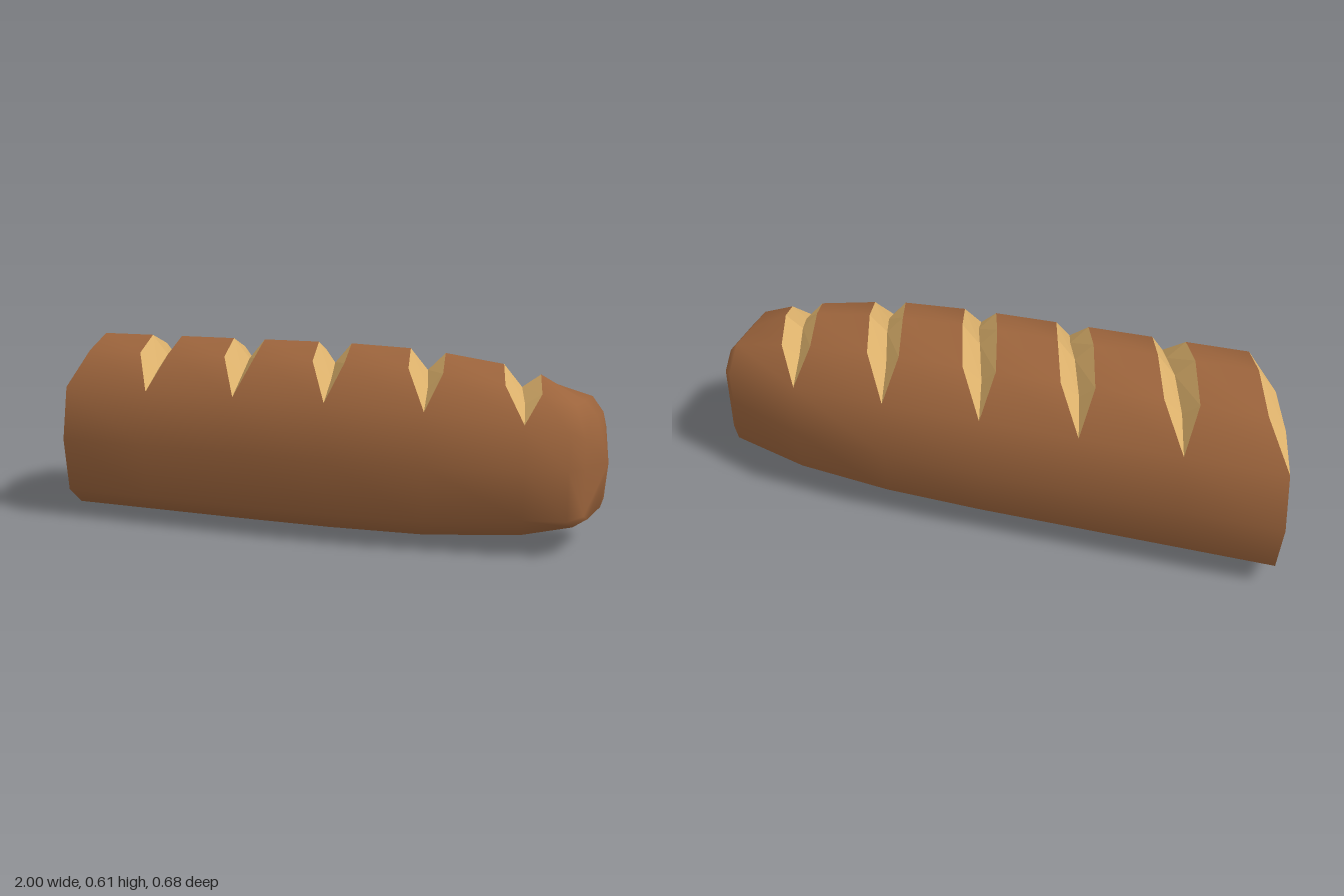
import * as THREE from 'three';
import { mergeVertices } from 'three/addons/utils/BufferGeometryUtils.js';

const MID = 0.272;      // height of the loaf axis
const SLANT = 0.3;      // slant of the slashes and of the cut end
const SIDES = 12;

// half cross-section, top to bottom: [z, y from axis]
const HALF = [[0, 0.34], [0.176, 0.294], [0.293, 0.176], [0.339, 0],
  [0.293, -0.185], [0.176, -0.254], [0, -0.272]];
// taper towards the rounded end: [x, scale]
const TAPER = [[-2, 1], [0, 1], [0.17, 0.995], [0.4, 0.965], [0.64, 0.875],
  [0.76, 0.79], [0.81, 0.765], [0.92, 0.56], [0.96, 0.43], [1, 0.3]];
const TAPER_BELOW = [[-2, 1], [0, 1], [0.4, 0.98], [0.72, 0.93], [0.92, 0.69], [0.96, 0.6], [1, 0.5]];

const SLASHES = [-0.9, -0.58, -0.25, 0.075, 0.405, 0.72];
const SLASH_HALF_WIDTH = [0.06, 0.056, 0];

function lookup(table, x) {
  let i = 1;
  while (i < table.length - 1 && table[i][0] < x) i++;
  const [x0, s0] = table[i - 1], [x1, s1] = table[i];
  return s0 + (s1 - s0) * (x - x0) / (x1 - x0);
}

// index 0 is the top, counting down the front and up the back
function section(j) {
  const k = ((j % SIDES) + SIDES) % SIDES;
  const m = Math.min(k, SIDES - k);
  return { m, z: HALF[m][0] * (k > 6 ? -1 : 1), y: HALF[m][1] };
}

// point on a slanted ring; side -1 / 1 gives a slash lip, 0 its valley
function slantPoint(c, j, side) {
  const { m, z, y } = section(j);
  const base = c + SLANT * z * lookup(TAPER, c);
  const x = base + side * (SLASH_HALF_WIDTH[m] ?? 0);
  const deep = side === 0 && m < 2;
  const s = lookup(TAPER, x);
  const sy = y < 0 ? lookup(TAPER_BELOW, x) : s;
  return new THREE.Vector3(x, MID + y * sy * (deep ? 0.8 : 1), z * s * (deep ? 0.87 : 1));
}

// point on a straight ring of the rounded end, partly squared off
function endPoint(x, j, square) {
  const { z, y } = section(j);
  const h = y < 0 ? 0.272 : 0.34;
  const grow = 1 + square * 0.3 * Math.pow(Math.abs(2 * (z / 0.339) * (y / h)), 1.2);
  const fit = (v, limit) => THREE.MathUtils.clamp(v * grow, -limit, limit);
  const sy = lookup(y < 0 ? TAPER_BELOW : TAPER, x);
  return new THREE.Vector3(x, MID + fit(y, h) * sy, fit(z, 0.339) * lookup(TAPER, x));
}

function makeSurface() {
  const data = [];
  const tri = (a, b, c) => {
    const area = b.clone().sub(a).cross(c.clone().sub(a)).length();
    if (area > 1e-7) for (const p of [a, b, c]) data.push(p.x, p.y, p.z);
  };
  // strip between two columns, left to right, over a range of sides
  const strip = (left, right, from, to) => {
    for (let j = from; j < to; j++) {
      tri(left(j), left(j + 1), right(j + 1));
      tri(left(j), right(j + 1), right(j));
    }
  };
  const build = (smooth) => {
    let g = new THREE.BufferGeometry();
    g.setAttribute('position', new THREE.Float32BufferAttribute(data, 3));
    if (smooth) g = mergeVertices(g, 1e-4);
    g.computeVertexNormals();
    return g;
  };
  return { tri, strip, build };
}

export function createModel() {
  const crustMat = new THREE.MeshStandardMaterial({ color: 0x9c643c });
  crustMat.name = 'crust brown';
  const crumbMat = new THREE.MeshStandardMaterial({ color: 0xdbb06b });
  crumbMat.name = 'crumb cream';

  const group = new THREE.Group();
  group.name = 'breadLoaf';
  const add = (name, surface, material, smooth) => {
    const mesh = new THREE.Mesh(surface.build(smooth), material);
    mesh.name = name;
    group.add(mesh);
  };

  // crust: bands between the slashes, then the rounded end
  const crust = makeSurface();
  SLASHES.forEach((c, i) => {
    const next = SLASHES[i + 1];
    const right = next === undefined
      ? (j) => endPoint(0.92, j, 0.6)
      : (j) => slantPoint(next, j, -1);
    crust.strip((j) => slantPoint(c, j, 1), right, 0, SIDES);
  });
  const tip = new THREE.Vector3(1, MID, 0);
  crust.strip((j) => endPoint(0.92, j, 0.6), (j) => endPoint(0.96, j, 0.8), 0, SIDES);
  crust.strip((j) => endPoint(0.96, j, 0.8), () => tip, 0, SIDES);
  add('crust', crust, crustMat, true);

  // V-shaped slashes; the first is halved by the cut end
  SLASHES.forEach((c, i) => {
    const slash = makeSurface();
    const valley = (j) => slantPoint(c, j, 0);
    if (i > 0) slash.strip((j) => slantPoint(c, j, -1), valley, -2, 2);
    slash.strip(valley, (j) => slantPoint(c, j, 1), -2, 2);
    add(i > 0 ? `slash${i}` : 'cutEndBevel', slash, crumbMat, false);
  });

  // flat cut end
  const cut = makeSurface();
  const centre = new THREE.Vector3(SLASHES[0], MID, 0);
  for (let j = 0; j < SIDES; j++) {
    cut.tri(centre, slantPoint(SLASHES[0], j + 1, 0), slantPoint(SLASHES[0], j, 0));
  }
  add('cutEnd', cut, crumbMat, false);

  return group;
}
